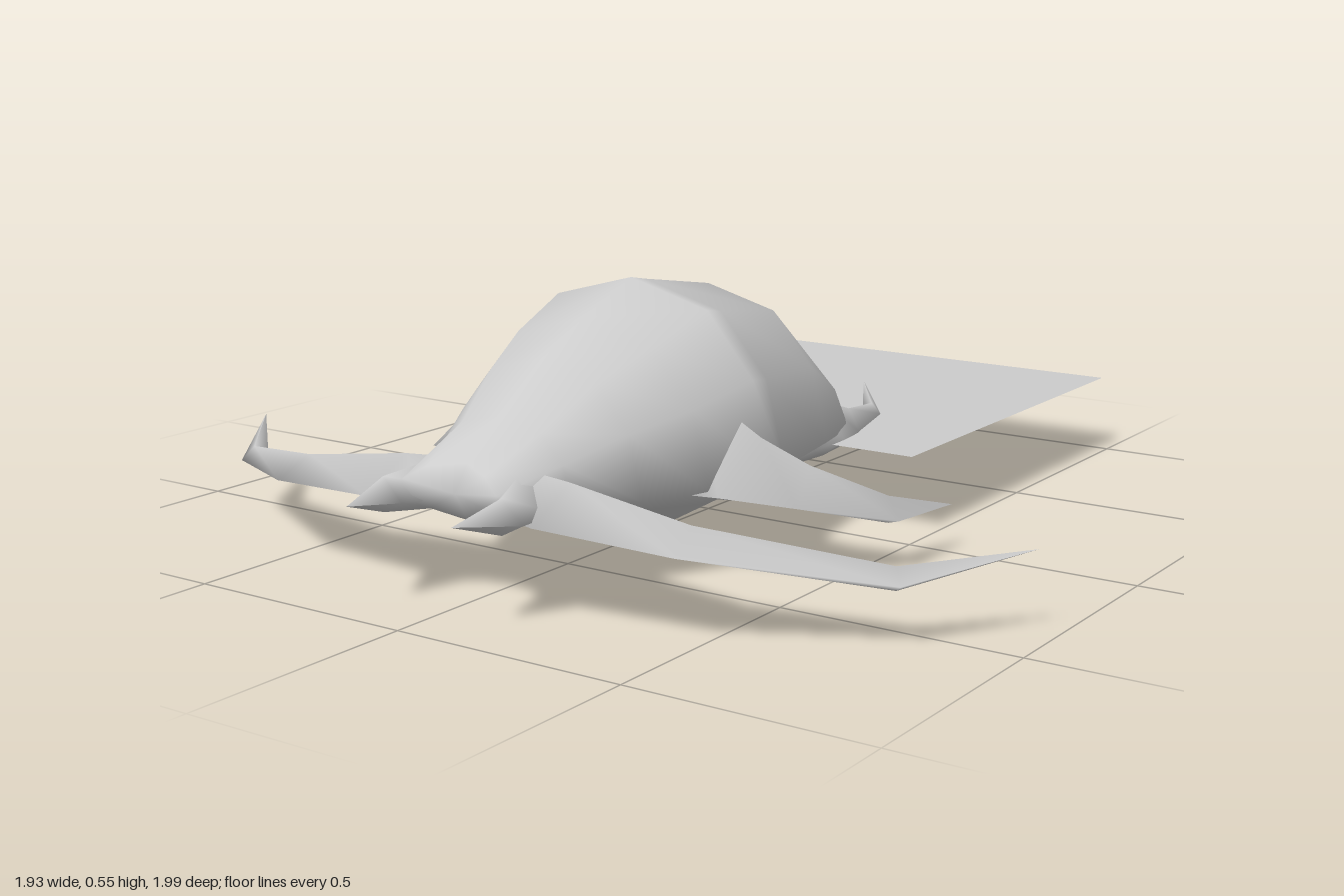
import * as THREE from 'three';

const material = new THREE.MeshStandardMaterial({ color: 0xcccccc, roughness: 0.8 });
const doubleSided = new THREE.MeshStandardMaterial({ color: 0xcccccc, roughness: 0.8, side: THREE.DoubleSide });

// Skins a series of closed rings (counter-clockwise seen from the far end) and caps both ends.
function loft(rings) {
  const n = rings[0].length;
  const positions = rings.flat(2);
  const index = [];
  for (let i = 0; i < rings.length - 1; i++) {
    for (let j = 0; j < n; j++) {
      const a = i * n + j, b = i * n + (j + 1) % n;
      index.push(a, b, b + n, a, b + n, a + n);
    }
  }
  const last = (rings.length - 1) * n;
  [[0, true], [last, false]].forEach(([start, flip]) => {
    const ring = rings[start / n];
    const c = positions.length / 3;
    for (let k = 0; k < 3; k++) positions.push(ring.reduce((s, p) => s + p[k], 0) / n);
    for (let j = 0; j < n; j++) {
      const a = start + j, b = start + (j + 1) % n;
      index.push(...(flip ? [c, b, a] : [c, a, b]));
    }
  });
  const geometry = new THREE.BufferGeometry();
  geometry.setAttribute('position', new THREE.Float32BufferAttribute(positions, 3));
  geometry.setIndex(index);
  geometry.computeVertexNormals();
  return geometry;
}

// Body cross-section: domed shell above the rim, V-shaped belly below.
function bodyRing([z, w, rim, top, bottom, notch = 0]) {
  const h = top - rim, d = rim - bottom;
  const right = [[1, 0], [0.87, 0.5], [0.55, 0.86]];
  const shell = [...right, [0, 1], ...right.map(([x, y]) => [-x, y]).reverse()];
  const belly = [[-0.5, -0.5], [0, -1], [0.5, -0.5]];
  return [...shell, ...belly].map(([x, y]) =>
    [x * w, rim + y * (y > 0 ? h : d), z + notch * Math.abs(x)]);
}

// Limb cross-section: two edges, a ridge above and a keel below.
function limbRing([ax, az, bx, bz, edge, top, bottom]) {
  const mx = (ax + bx) / 2, mz = (az + bz) / 2;
  return [[ax, edge, az], [mx, top, mz], [bx, edge, bz], [mx, bottom, mz]];
}

// Each limb section: first edge x, z; second edge x, z; edge y, ridge y, keel y.
const limbs = {
  frontLeg: [
    [0.06, 0.64, 0.06, 0.84, 0.21, 0.27, 0.17],
    [0.20, 0.63, 0.20, 0.86, 0.20, 0.26, 0.17],
    [0.45, 0.665, 0.48, 0.815, 0.18, 0.22, 0.17],
    [0.77, 0.56, 0.81, 0.60, 0.13, 0.16, 0.115],
    [0.965, 0.375, 0.965, 0.375, 0.17, 0.17, 0.17],
  ],
  middleLeg: [
    [0.22, 0.17, 0.20, 0.50, 0.19, 0.36, 0.14],
    [0.37, 0.21, 0.32, 0.44, 0.18, 0.28, 0.15],
    [0.41, 0.205, 0.46, 0.375, 0.165, 0.23, 0.15],
    [0.525, 0.18, 0.585, 0.20, 0.12, 0.165, 0.11],
    [0.585, -0.02, 0.585, -0.02, 0.105, 0.105, 0.105],
  ],
  rearLeg: [
    [0.13, 0.02, 0.30, 0.05, 0.19, 0.28, 0.14],
    [0.16, -0.13, 0.295, -0.08, 0.19, 0.26, 0.14],
    [0.22, -0.18, 0.285, -0.16, 0.19, 0.235, 0.16],
    [0.215, -0.295, 0.25, -0.315, 0.195, 0.22, 0.18],
    [0.18, -0.36, 0.18, -0.36, 0.255, 0.255, 0.255],
  ],
  mandible: [
    [0.20, 0.78, 0.0, 0.74, 0.21, 0.27, 0.17],
    [0.19, 0.87, 0.095, 0.875, 0.205, 0.25, 0.18],
    [0.125, 0.99, 0.125, 0.99, 0.22, 0.22, 0.22],
  ],
};

// z, half width, rim y, top y, belly y, forward sweep of the sides.
const bodySections = [
  [-0.165, 0.25, 0.20, 0.24, 0.15],
  [-0.14, 0.27, 0.20, 0.36, 0.14],
  [0, 0.30, 0.20, 0.51, 0.06],
  [0.23, 0.34, 0.20, 0.55, 0.01],
  [0.28, 0.34, 0.20, 0.56, 0.02],
  [0.44, 0.30, 0.19, 0.50, 0.07],
  [0.57, 0.235, 0.19, 0.44, 0.11],
  [0.70, 0.17, 0.20, 0.35, 0.145],
  [0.80, 0.13, 0.21, 0.28, 0.17, 0.06],
];

export function createModel() {
  const model = new THREE.Group();
  const add = (name, geometry, mat = material) => {
    const mesh = new THREE.Mesh(geometry, mat);
    mesh.name = name;
    model.add(mesh);
    return mesh;
  };

  add('body', loft(bodySections.map(bodyRing)));

  // Paired limbs; the mirrored ring order keeps faces pointing outward.
  for (const [name, sections] of Object.entries(limbs)) {
    const rings = sections.map(limbRing);
    const mirrored = rings.map(r => r.map(([x, y, z]) => [-x, y, z]).reverse());
    const label = name[0].toUpperCase() + name.slice(1);
    add('left' + label, loft(rings));
    add('right' + label, loft(mirrored));
  }

  // Flat square panel behind the body
  const panel = add('rearPanel', new THREE.PlaneGeometry(0.96, 0.96).rotateX(-Math.PI / 2), doubleSided);
  panel.position.set(0, 0.185, -0.52);

  return model;
}
